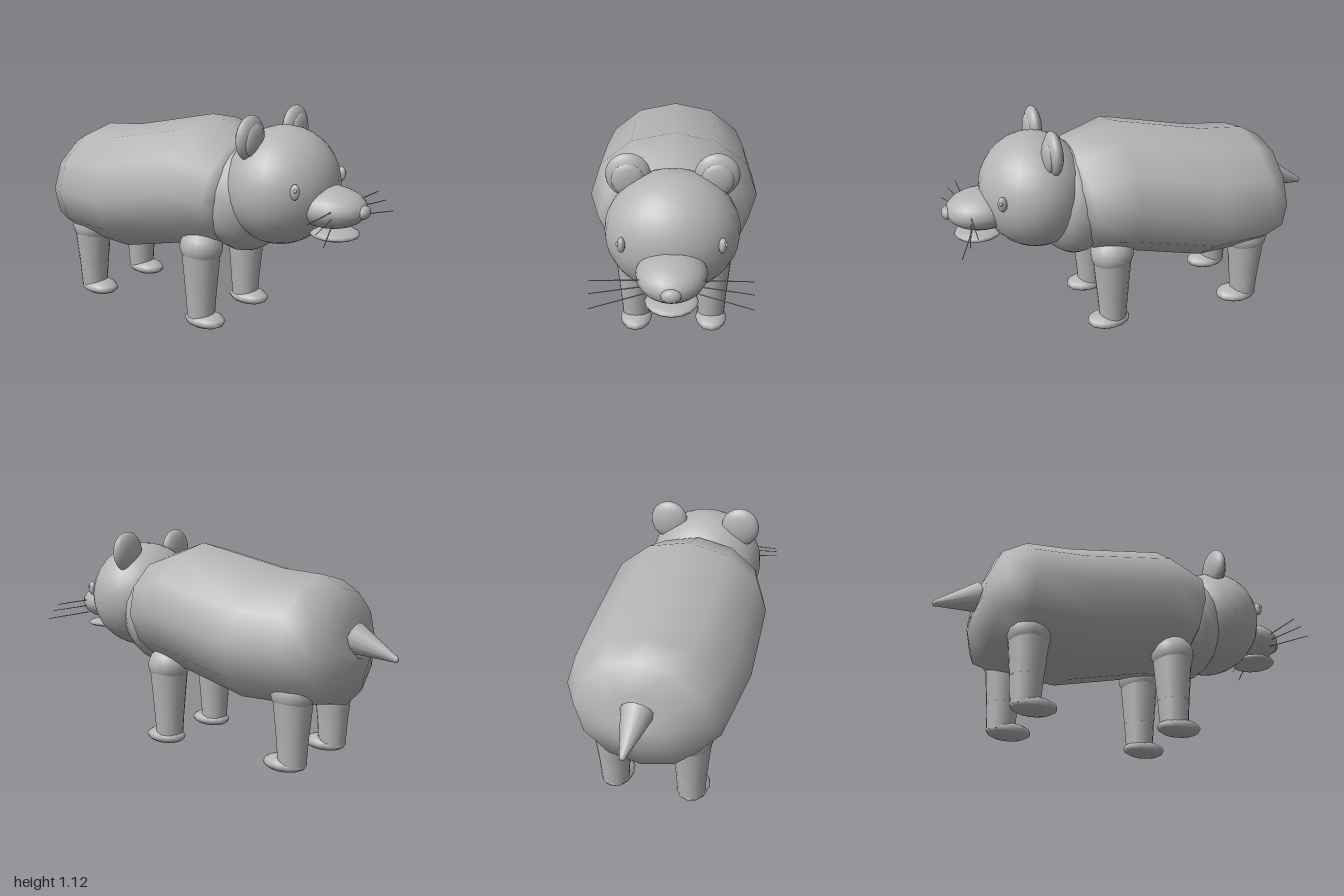
import * as THREE from 'three';

const clay = new THREE.MeshStandardMaterial({ color: 0xb4b4b4 });
clay.name = 'clayGrey';

function add(parent, name, geometry, x = 0, y = 0, z = 0) {
  const mesh = new THREE.Mesh(geometry, clay);
  mesh.name = name;
  mesh.position.set(x, y, z);
  parent.add(mesh);
  return mesh;
}

function ellipsoid(parent, name, pos, radii, w = 16, h = 12) {
  const g = new THREE.SphereGeometry(1, w, h);
  g.scale(...radii);
  return add(parent, name, g, ...pos);
}

// Tapered rod between two points
function rod(parent, name, a, b, ra, rb, sides) {
  const from = new THREE.Vector3(...a), to = new THREE.Vector3(...b);
  const dir = to.clone().sub(from);
  const mesh = add(parent, name, new THREE.CylinderGeometry(rb, ra, dir.length(), sides));
  mesh.position.copy(from).add(to).multiplyScalar(0.5);
  mesh.quaternion.setFromUnitVectors(new THREE.Vector3(0, 1, 0), dir.normalize());
  return mesh;
}

// Torso lofted through oval rings: [z at top, z at bottom, half width, top y, bottom y]
function bodyGeometry() {
  const rings = [
    [-0.79, -0.805, 0.0, 0.56, 0.56],
    [-0.765, -0.80, 0.17, 0.74, 0.47],
    [-0.71, -0.745, 0.325, 0.885, 0.325],
    [-0.60, -0.60, 0.405, 0.943, 0.302],
    [-0.37, -0.28, 0.432, 0.962, 0.295],
    [0.12, 0.12, 0.42, 1.067, 0.395],
    [0.35, 0.29, 0.365, 0.99, 0.43],
    [0.39, 0.34, 0.26, 0.92, 0.50],
    [0.40, 0.40, 0.0, 0.70, 0.70],
  ];
  const n = 12, pos = [], index = [];
  rings.forEach(([zt, zb, w, top, bottom], r) => {
    for (let i = 0; i < n; i++) {
      const a = (i / n) * Math.PI * 2, s = Math.sin(a);
      const t = (s + 1) / 2;
      pos.push(Math.cos(a) * w, bottom + (top - bottom) * t, zb + (zt - zb) * t);
      if (r === 0) continue;
      const j = (i + 1) % n, p = (r - 1) * n, q = r * n;
      index.push(p + i, p + j, q + j, p + i, q + j, q + i);
    }
  });
  const g = new THREE.BufferGeometry();
  g.setAttribute('position', new THREE.Float32BufferAttribute(pos, 3));
  g.setIndex(index);
  g.computeVertexNormals();
  return g;
}

function leg(parent, name, x, z, top, footShift) {
  const g = new THREE.Group();
  g.name = name;
  g.position.set(x, 0, z);
  parent.add(g);
  ellipsoid(g, 'shoulder', [0, top, 0], [0.107, 0.1, 0.112]);
  rod(g, 'upperLeg', [0, 0.18, 0], [0, top, 0], 0.08, 0.102, 16);
  rod(g, 'lowerLeg', [0, 0.04, 0], [0, 0.2, 0], 0.07, 0.081, 16);
  ellipsoid(g, 'paw', [0, 0.045, footShift], [0.084, 0.041, 0.115], 12, 8);
}

export function createModel() {
  const model = new THREE.Group();
  model.name = 'animal';

  add(model, 'body', bodyGeometry());
  ellipsoid(model, 'neck', [0, 0.69, 0.36], [0.3, 0.287, 0.2], 20, 14);

  // Tail with a rounded tip
  rod(model, 'tail', [0, 0.655, -0.77], [0, 0.577, -0.985], 0.079, 0.016, 14);
  ellipsoid(model, 'tailTip', [0, 0.576, -0.985], [0.016, 0.016, 0.015], 10, 8);

  // Head
  const head = new THREE.Group();
  head.name = 'head';
  model.add(head);
  ellipsoid(head, 'skull', [0, 0.766, 0.54], [0.311, 0.287, 0.27], 24, 18);
  ellipsoid(head, 'muzzle', [0, 0.702, 0.8], [0.157, 0.098, 0.18], 20, 14);
  ellipsoid(head, 'lowerJaw', [0, 0.578, 0.83], [0.118, 0.027, 0.118], 16, 10);
  ellipsoid(head, 'nose', [0, 0.702, 0.973], [0.044, 0.032, 0.026], 14, 10);

  for (const s of [1, -1]) {
    // Ears
    ellipsoid(head, 'ear', [s * 0.2, 1.015, 0.48], [0.103, 0.106, 0.042], 20, 14);
    ellipsoid(head, 'innerEar', [s * 0.2, 1.004, 0.506], [0.075, 0.08, 0.026], 18, 12);

    // Eyes
    ellipsoid(head, 'eye', [s * 0.22, 0.804, 0.737], [0.018, 0.037, 0.023], 12, 10);
    ellipsoid(head, 'eyeGlint', [s * 0.235, 0.813, 0.747], [0.008, 0.009, 0.009], 8, 6);

    // Whiskers
    [[0.716, 0.714, 0.88], [0.683, 0.675, 0.92], [0.645, 0.626, 0.96]].forEach(([y0, y1, z1]) =>
      rod(head, 'whisker', [s * 0.12, y0, 0.875], [s * 0.35, y1, z1], 0.003, 0.002, 6));

    // Legs
    leg(model, 'frontLeg', s * 0.2, 0.2, 0.435, 0.025);
    leg(model, 'hindLeg', s * 0.2, -0.565, 0.4, 0.04);
  }
  return model;
}
